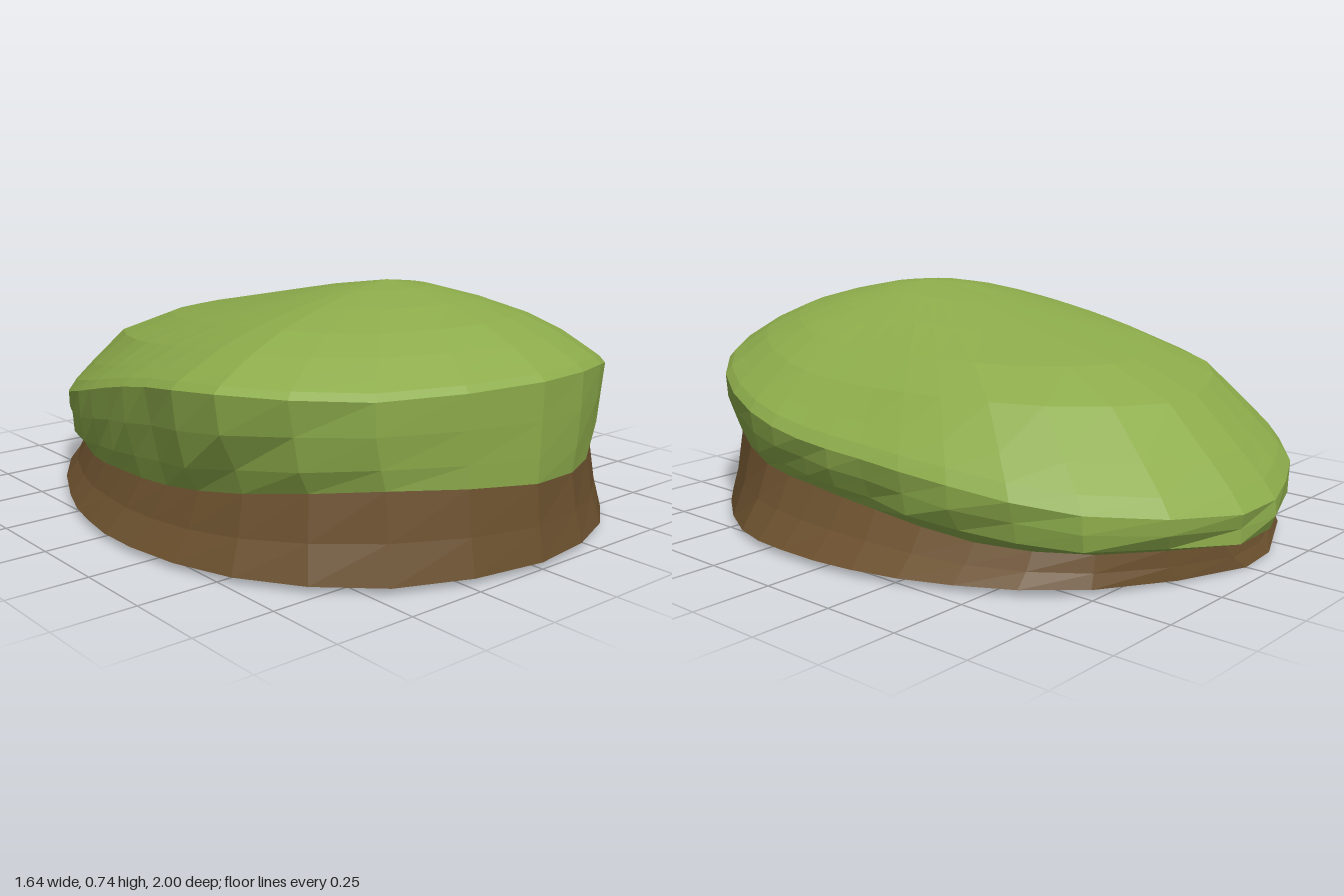
import * as THREE from 'three';

const COLUMNS = 32;
const green = new THREE.MeshStandardMaterial({ color: 0x8dac4b, flatShading: true, side: THREE.DoubleSide });
green.name = 'moss green cloth';
const brown = new THREE.MeshStandardMaterial({ color: 0x6b502e, flatShading: true, side: THREE.DoubleSide });
brown.name = 'brown band';

// closed outline, from the front centre round by +x, sampled into columns
function outline(points) {
  const curve = new THREE.CatmullRomCurve3(points.map(p => new THREE.Vector3(...p)), true, 'catmullrom', 0.5);
  return Array.from({ length: COLUMNS }, (_, i) => curve.getPoint(i / COLUMNS));
}

// skin a stack of rings, bottom to top
function loft(rings) {
  const index = [];
  for (let r = 0; r < rings.length - 1; r++) {
    for (let i = 0; i < COLUMNS; i++) {
      const j = (i + 1) % COLUMNS;
      const a = r * COLUMNS + i, b = r * COLUMNS + j;
      index.push(a, b, b + COLUMNS, a, b + COLUMNS, a + COLUMNS);
    }
  }
  const g = new THREE.BufferGeometry().setFromPoints(rings.flat());
  g.setIndex(index);
  g.computeVertexNormals();
  return g;
}

// ring between two rings, with separate amounts across and up
function between(lower, upper, across, up) {
  return lower.map((p, i) => {
    const q = upper[i];
    const s = across(p, i), t = up(p, i);
    return new THREE.Vector3(
      THREE.MathUtils.lerp(p.x, q.x, s),
      THREE.MathUtils.lerp(p.y, q.y, t),
      THREE.MathUtils.lerp(p.z, q.z, s));
  });
}

export function createModel() {
  const hat = new THREE.Group();
  hat.name = 'softCap';

  // open lower edge of the band
  const base = outline([
    [0, .02, 1], [.38, .02, .9], [.61, .02, .68], [.78, .02, .4],
    [.82, .02, .16], [.8, .02, -.12], [.7, .02, -.42], [.48, .02, -.73],
    [0, 0, -.93], [-.25, .02, -.88], [-.52, .02, -.72], [-.72, .02, -.36],
    [-.8, .02, -.1], [-.82, .02, .17], [-.73, .02, .54], [-.45, .02, .87]]);
  // seam between band and crown
  const seam = outline([
    [0, .24, .97], [.35, .22, .86], [.55, .25, .68], [.67, .21, .4],
    [.69, .19, .15], [.68, .165, -.1], [.61, .12, -.42], [.45, .11, -.72],
    [.08, .09, -.9], [-.2, .09, -.87], [-.45, .11, -.72], [-.62, .13, -.38],
    [-.69, .165, -.08], [-.71, .19, .2], [-.66, .23, .5], [-.43, .27, .82]]);
  // widest line of the crown
  const rim = outline([
    [0, .53, .98], [.37, .51, .88], [.6, .45, .69], [.73, .39, .4],
    [.755, .35, .15], [.74, .33, -.1], [.7, .3, -.4], [.55, .25, -.75],
    [.15, .21, -1], [-.2, .22, -.94], [-.5, .26, -.75], [-.68, .36, -.35],
    [-.74, .43, -.08], [-.775, .49, .2], [-.77, .53, .53], [-.48, .52, .83]]);

  // band, slightly hollow in profile
  const bandMid = between(base, seam, () => .58, () => .45);
  const band = new THREE.Mesh(loft([base, bandMid, seam]), brown);
  band.name = 'band';
  hat.add(band);

  // crown side: rolls out sharply at the back, creased at the front
  const back = p => THREE.MathUtils.smoothstep(-p.z, -.2, .9);
  const wave = i => Math.sin(i * 2.4) * .14;
  const sideLow = between(seam, rim, (p, i) => .4 + .4 * back(p) + wave(i), () => .25);
  const sideHigh = between(seam, rim, (p, i) => .8 + .15 * back(p) + wave(i + 2) * .7, () => .62);

  // crown top: [share of the way in, rise at front and sides, rise at back]
  const peak = rim.map(() => new THREE.Vector3(0, .735, .35));
  const steps = [[.03, .09, .1], [.09, .2, .25], [.2, .4, .51], [.36, .61, .67], [.58, .8, .79], [.8, .94, .91], [1, 1, 1]];
  const top = steps.map(([inward, side, rear]) =>
    between(rim, peak, () => inward, p => THREE.MathUtils.lerp(side, rear, back(p))));

  const crown = new THREE.Mesh(loft([seam, sideLow, sideHigh, rim, ...top]), green);
  crown.name = 'crown';
  hat.add(crown);
  return hat;
}
